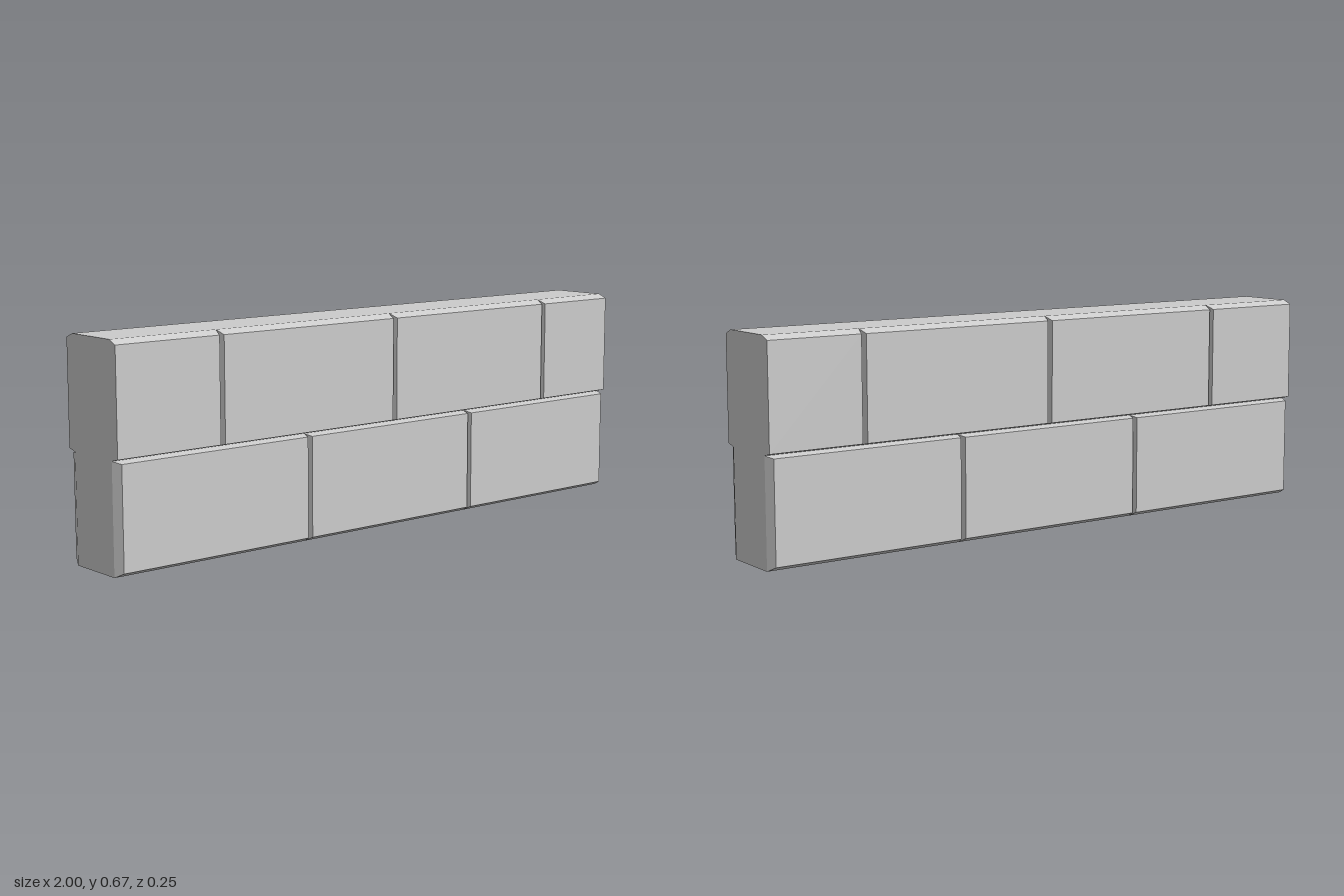
import * as THREE from 'three';

const material = new THREE.MeshStandardMaterial({ color: 0xcccccc, flatShading: true });
const CORE_Z = 0.094, FACE_Z = 0.124;

// Stone face: a shallow box whose outer rim is drawn in on each edge
function stoneFace(x0, x1, y0, y1, side, inset) {
  const geometry = new THREE.BoxGeometry(x1 - x0, y1 - y0, FACE_Z - CORE_Z);
  geometry.translate((x0 + x1) / 2, (y0 + y1) / 2, side * (CORE_Z + FACE_Z) / 2);
  const p = geometry.attributes.position;
  const midX = (x0 + x1) / 2, midY = (y0 + y1) / 2, midZ = (CORE_Z + FACE_Z) / 2;
  for (let i = 0; i < p.count; i++) {
    if (p.getZ(i) * side < midZ) continue;
    p.setX(i, p.getX(i) < midX ? x0 + inset.left : x1 - inset.right);
    p.setY(i, p.getY(i) < midY ? y0 + inset.bottom : y1 - inset.top);
  }
  const flat = geometry.toNonIndexed();
  flat.computeVertexNormals();
  return new THREE.Mesh(flat, material);
}

export function createModel() {
  const group = new THREE.Group();
  group.name = 'stoneWall';

  // Solid body behind the joints
  const core = new THREE.Mesh(new THREE.BoxGeometry(2, 0.67, CORE_Z * 2), material);
  core.position.y = 0.335;
  core.name = 'wallCore';
  group.add(core);

  // Two staggered courses, joints at the listed x positions
  const courses = [
    { name: 'lowerStone', y: [0, 0.331], joints: [-1, -0.317, 0.35, 1], end: 0.013, bottom: 0.015, top: 0.006 },
    { name: 'upperStone', y: [0.331, 0.67], joints: [-1, -0.64, 0.025, 0.69, 1], end: 0, bottom: 0.008, top: 0.013 },
  ];
  for (const c of courses) {
    const last = c.joints.length - 2;
    for (let i = 0; i <= last; i++) {
      const stone = new THREE.Group();
      stone.name = c.name + (i + 1);
      const inset = {
        left: i === 0 ? c.end : 0.008,
        right: i === last ? c.end : 0.008,
        bottom: c.bottom,
        top: c.top,
      };
      for (const side of [1, -1]) {
        const face = stoneFace(c.joints[i], c.joints[i + 1], c.y[0], c.y[1], side, inset);
        face.name = side > 0 ? 'frontFace' : 'backFace';
        stone.add(face);
      }
      group.add(stone);
    }
  }
  return group;
}
